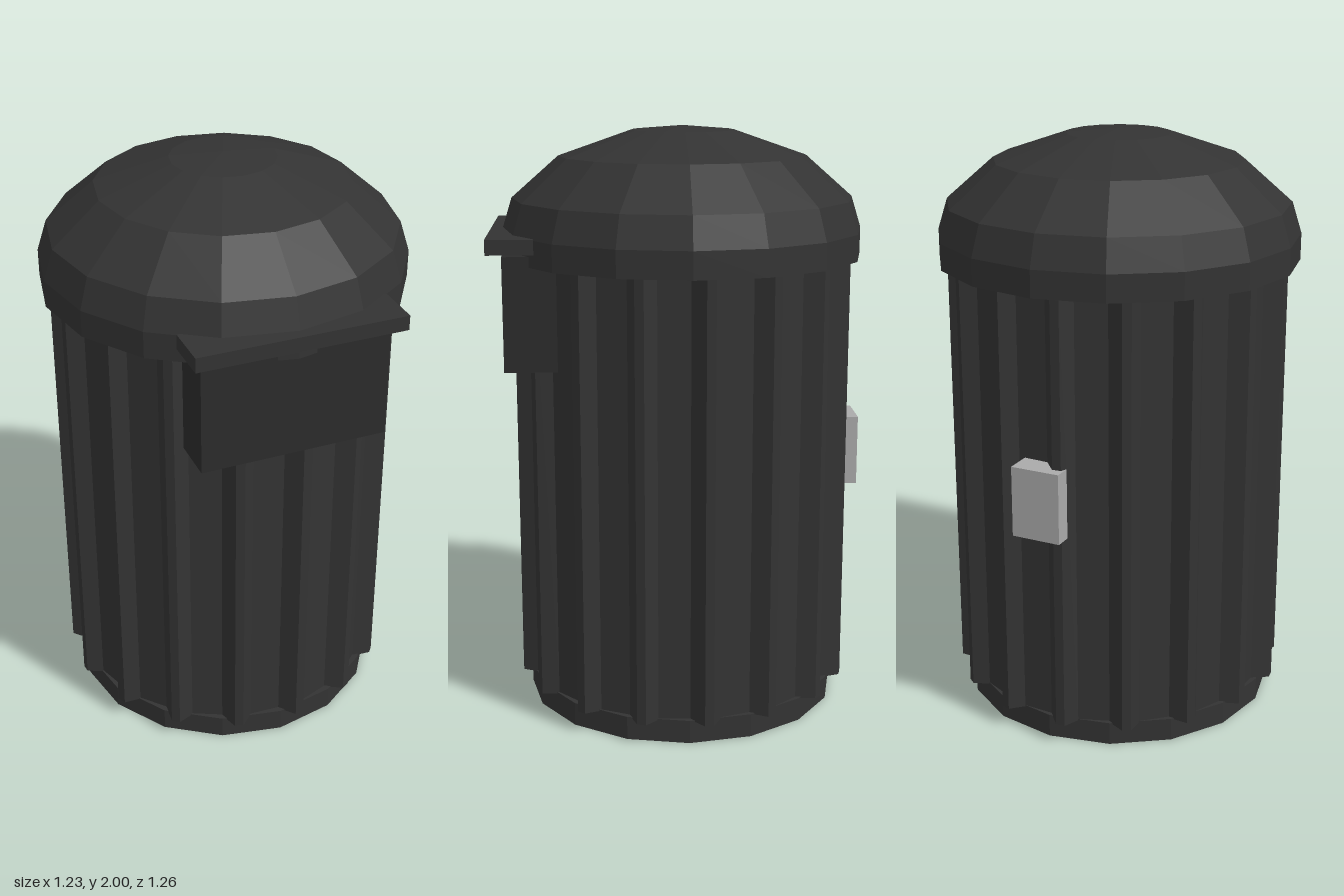
import * as THREE from 'three';

const flat = (color) => new THREE.MeshStandardMaterial({ color, flatShading: true });

export function createModel() {
  const model = new THREE.Group();
  const shell = flat(0x333333), dark = flat(0x2b2b2b), pale = flat(0xaaaaaa);
  const sides = 16, axisZ = -0.02;

  const add = (name, geometry, material, x, y, z) => {
    const mesh = new THREE.Mesh(geometry, material);
    mesh.name = name;
    mesh.position.set(x, y, z);
    model.add(mesh);
    return mesh;
  };
  // Box given by its half width and its y and z limits
  const slab = (name, material, halfX, y0, y1, z0, z1) =>
    add(name, new THREE.BoxGeometry(2 * halfX, y1 - y0, z1 - z0), material,
      0, (y0 + y1) / 2, (z0 + z1) / 2);

  // Plain foot
  add('base', new THREE.CylinderGeometry(0.543, 0.543, 0.08, sides), shell, 0, 0.04, axisZ + 0.003);

  // Ribbed barrel: each sector has one narrow raised rib and a wide flat groove
  const rib = [[0, 0.524], [4.5, 0.578], [7.5, 0.578], [10.9, 0.529]];
  const outline = [];
  for (let i = 0; i < sides; i++) {
    for (const [deg, r] of rib) {
      const a = THREE.MathUtils.degToRad(deg + i * 360 / sides);
      outline.push(new THREE.Vector2(r * Math.sin(a), -r * Math.cos(a)));
    }
  }
  const barrel = new THREE.ExtrudeGeometry(new THREE.Shape(outline), { depth: 1.5, bevelEnabled: false });
  barrel.rotateX(-Math.PI / 2);
  add('ribbedBody', barrel, shell, 0, 0.075, axisZ);

  // Domed lid with closed underside
  const profile = [[0, 1.565], [0.613, 1.565], [0.613, 1.655], [0.58, 1.76], [0.42, 1.9], [0.175, 1.985], [0, 2]]
    .map(([r, y]) => new THREE.Vector2(r, y));
  add('domedLid', new THREE.LatheGeometry(profile, sides), shell, 0, 0, axisZ);

  // Opening box with the ledge above it
  slab('openingBox', dark, 0.315, 1.22, 1.6, 0.405, 0.58);
  slab('ledge', shell, 0.35, 1.61, 1.66, 0.475, 0.63);

  // Plate on the back
  slab('backPlate', pale, 0.085, 0.76, 1.0, -0.63, -0.53);

  return model;
}
